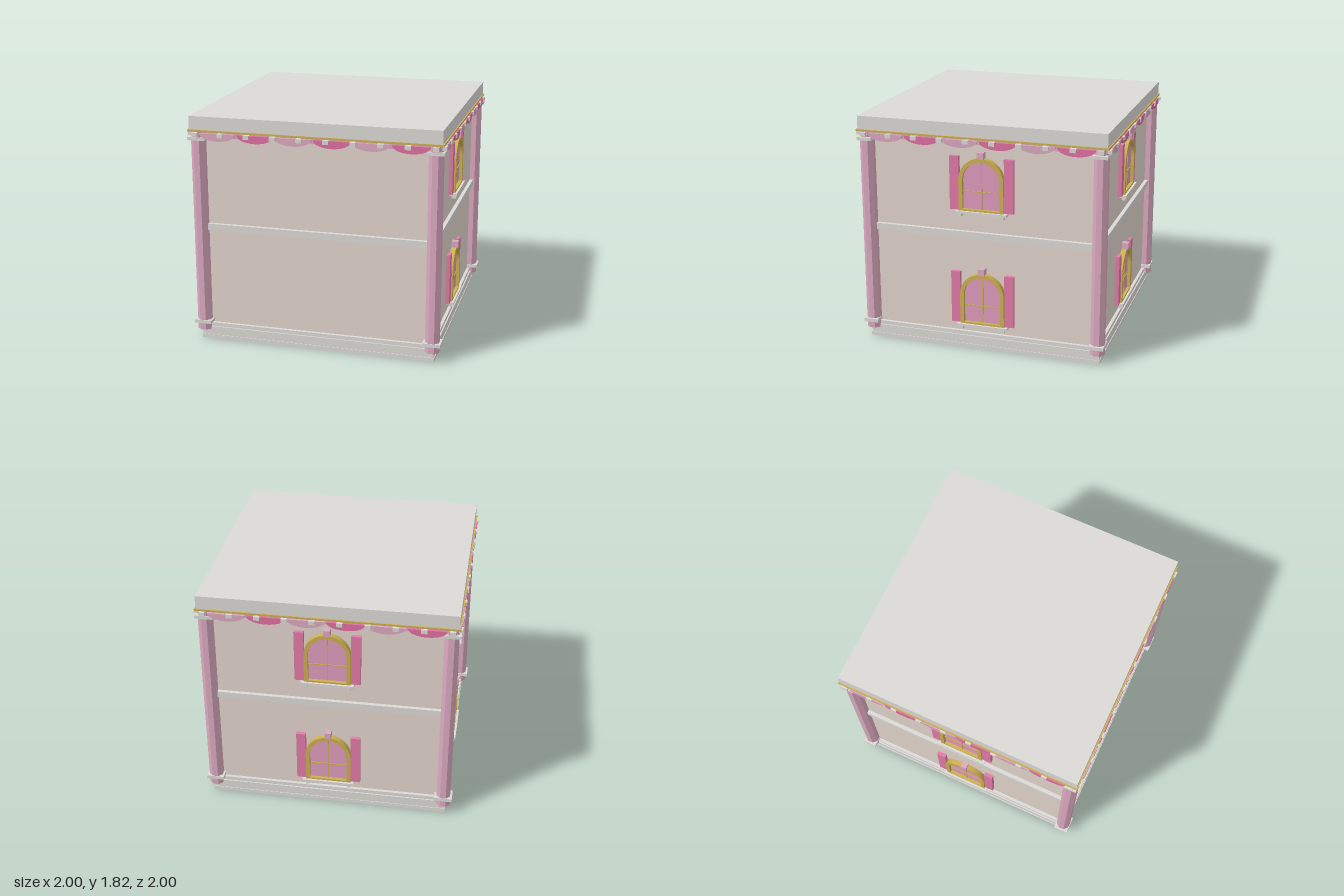
import * as THREE from 'three';

const mat = (color) => new THREE.MeshStandardMaterial({ color });
const M = {
  wall: mat(0xe2d5cc), stone: mat(0xdcdad6), column: mat(0xdbaabf), gold: mat(0xcdb052),
  pane: mat(0xdf9cbc), shutter: mat(0xe27ba8), light: mat(0xdba9c0), dark: mat(0xe070a2),
};

function add(parent, name, geometry, material, x = 0, y = 0, z = 0) {
  const mesh = new THREE.Mesh(geometry, material);
  mesh.name = name;
  mesh.position.set(x, y, z);
  parent.add(mesh);
  return mesh;
}

// Box given by its centre x, its bottom and top y, and its back and front z
function slab(parent, name, material, x, width, y0, y1, z0, z1) {
  return add(parent, name, new THREE.BoxGeometry(width, y1 - y0, z1 - z0), material,
    x, (y0 + y1) / 2, (z0 + z1) / 2);
}

// Round-topped outline standing on y0, with the arch springing at y = 0.24
function archOutline(Type, r, y0) {
  const p = new Type();
  p.moveTo(-r, y0);
  p.lineTo(r, y0);
  p.lineTo(r, 0.24);
  p.absarc(0, 0.24, r, 0, Math.PI, false);
  p.lineTo(-r, y0);
  return p;
}

function extrude(shape, depth) {
  return new THREE.ExtrudeGeometry(shape, { depth, bevelEnabled: false, curveSegments: 14 });
}

// Window in the local frame: wall at z = 0, foot of the frame at y = 0
function makeWindow() {
  const g = new THREE.Group();
  g.name = 'window';
  const frame = archOutline(THREE.Shape, 0.178, 0);
  frame.holes.push(archOutline(THREE.Path, 0.147, 0.015));
  add(g, 'windowFrame', extrude(frame, 0.042), M.gold);
  add(g, 'windowPane', extrude(archOutline(THREE.Shape, 0.15, 0.01), 0.016), M.pane);
  slab(g, 'uprightGlazingBar', M.gold, 0, 0.008, 0.015, 0.387, 0, 0.022);
  slab(g, 'crossGlazingBar', M.gold, 0, 0.294, 0.147, 0.155, 0, 0.022);
  slab(g, 'keystone', M.column, 0, 0.05, 0.415, 0.465, 0, 0.052);
  slab(g, 'windowSill', M.stone, 0, 0.41, -0.018, 0.001, 0, 0.06);
  for (const s of [-1, 1]) {
    slab(g, 'shutter', M.shutter, s * 0.216, 0.074, 0.003, 0.422, 0, 0.03);
    slab(g, 'sillBracket', M.stone, s * 0.168, 0.026, -0.045, -0.018, 0.015, 0.05);
  }
  return g;
}

// Half-oval hanging scallop
function scallopGeometry() {
  const s = new THREE.Shape();
  s.moveTo(-0.142, 0);
  s.absellipse(0, 0, 0.142, 0.058, Math.PI, Math.PI * 2, false);
  s.lineTo(-0.142, 0);
  return extrude(s, 0.018);
}

// Trim of one side, facing +z
function makeSide(hasWindows) {
  const g = new THREE.Group();
  g.name = 'side';
  slab(g, 'floorBand', M.stone, 0, 1.8, 0.905, 0.957, 0.89, 0.93);
  const scallop = scallopGeometry();
  for (let i = 0; i < 6; i++) {
    add(g, 'scallop', scallop, i % 2 ? M.dark : M.light, (i - 2.5) * 0.298, 1.69, 0.974);
  }
  for (let i = 0; i < 10; i++) {
    slab(g, 'dentil', M.stone, (i - 4.5) * 0.206, 0.045, 1.662, 1.692, 0.95, 0.998);
  }
  if (hasWindows) {
    for (const y of [0.203, 1.127]) {
      const w = makeWindow();
      w.position.set(0, y, 0.9);
      g.add(w);
    }
  }
  return g;
}

export function createModel() {
  const model = new THREE.Group();
  model.name = 'house';

  // Stepped base, walls and roof
  slab(model, 'lowerPlinth', M.stone, 0, 1.88, 0, 0.032, -0.94, 0.94);
  slab(model, 'middlePlinth', M.stone, 0, 1.87, 0.032, 0.1, -0.935, 0.935);
  slab(model, 'upperPlinth', M.stone, 0, 1.85, 0.1, 0.13, -0.925, 0.925);
  slab(model, 'walls', M.wall, 0, 1.8, 0.13, 1.7, -0.9, 0.9);
  slab(model, 'frieze', M.column, 0, 1.92, 1.655, 1.698, -0.96, 0.96);
  slab(model, 'goldCornice', M.gold, 0, 1.97, 1.698, 1.712, -0.985, 0.985);
  slab(model, 'roof', M.stone, 0, 1.95, 1.712, 1.815, -0.975, 0.975);

  // Eight-sided corner columns with collars
  const shaft = new THREE.CylinderGeometry(0.058, 0.058, 1.62, 8);
  shaft.rotateY(Math.PI / 8);
  const columnMaterial = M.column.clone();
  columnMaterial.flatShading = true;
  for (const sx of [-1, 1]) {
    for (const sz of [-1, 1]) {
      const c = new THREE.Group();
      c.name = 'cornerColumn';
      c.position.set(sx * 0.92, 0, sz * 0.92);
      add(c, 'columnShaft', shaft, columnMaterial, 0, 0.89, 0);
      slab(c, 'lowerCollar', M.stone, 0, 0.14, 0.135, 0.162, -0.058, 0.058);
      slab(c, 'upperCollar', M.stone, 0, 0.14, 1.627, 1.652, -0.058, 0.058);
      model.add(c);
    }
  }

  // Four trimmed sides; the front has no windows
  for (let i = 0; i < 4; i++) {
    const side = makeSide(i > 0);
    side.rotation.y = i * Math.PI / 2;
    model.add(side);
  }
  return model;
}
